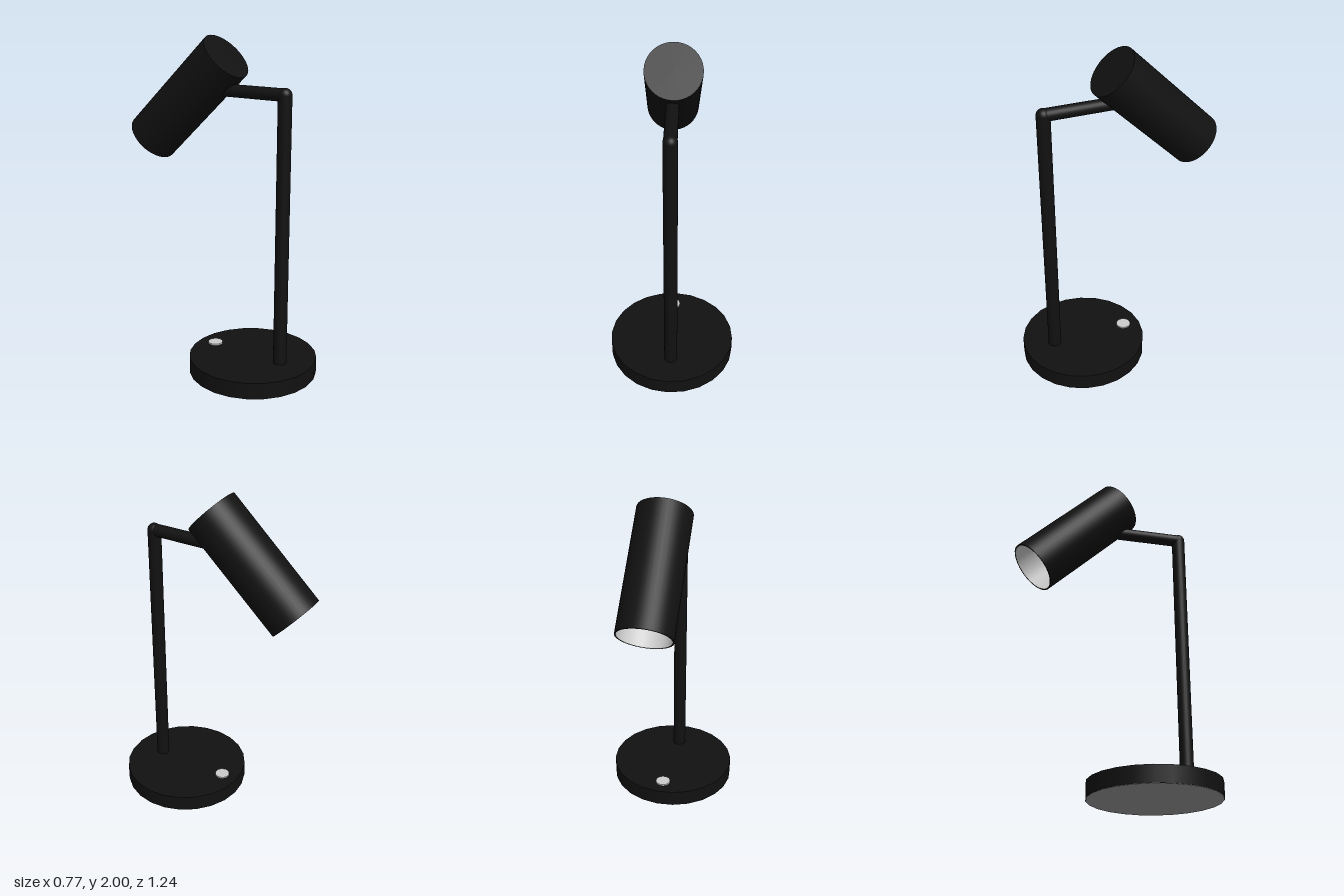
import * as THREE from 'three';
import { toCreasedNormals } from 'three/addons/utils/BufferGeometryUtils.js';

const mat = (color, side = THREE.FrontSide) => new THREE.MeshStandardMaterial({ color, side });

export function createModel() {
  const lamp = new THREE.Group();
  lamp.name = 'deskLamp';
  const black = mat(0x111111);
  const grey = mat(0xcccccc);

  function add(parent, name, geometry, material, x = 0, y = 0, z = 0) {
    const mesh = new THREE.Mesh(geometry, material);
    mesh.name = name;
    mesh.position.set(x, y, z);
    parent.add(mesh);
    return mesh;
  }

  // Round base with a grey pad underneath and a touch button on top
  const baseZ = 0.235, baseR = 0.386, baseH = 0.1, turn = -0.035;
  const base = new THREE.Group();
  base.name = 'base';
  base.position.z = baseZ;
  base.rotation.y = turn;
  lamp.add(base);
  add(base, 'baseDisc', new THREE.CylinderGeometry(baseR, baseR, baseH - 0.002, 24), black, 0, baseH / 2 + 0.001, 0);
  add(base, 'basePad', new THREE.CylinderGeometry(baseR - 0.002, baseR - 0.002, 0.002, 24), mat(0x999999), 0, 0.001, 0);
  add(lamp, 'button', new THREE.CylinderGeometry(0.045, 0.045, 0.01, 24), grey, 0, baseH + 0.004, -0.045);

  // Upright stem, ball elbow and horizontal arm
  const stemZ = 0.428, armY = 1.693, armEnd = -0.03;
  add(lamp, 'stem', new THREE.CylinderGeometry(0.04, 0.04, armY - baseH, 24), black, 0, (armY + baseH) / 2, stemZ);
  add(lamp, 'elbow', new THREE.SphereGeometry(0.04, 24, 16), black, 0, armY, stemZ);
  const arm = add(lamp, 'arm', new THREE.CylinderGeometry(0.037, 0.037, stemZ - armEnd, 24), black, 0, armY, (stemZ + armEnd) / 2);
  arm.rotation.x = Math.PI / 2;

  // Tilted cylindrical shade, local y running from the mouth to the closed end
  const mouth = new THREE.Vector3(-0.015, 1.37, -0.505);
  const top = new THREE.Vector3(0.005, 1.885, 0.03);
  const axis = top.clone().sub(mouth);
  const length = axis.length(), outer = 0.16, inner = 0.152, bulbDepth = 0.345;
  const head = new THREE.Group();
  head.name = 'lampHead';
  head.position.copy(mouth);
  head.quaternion.setFromUnitVectors(new THREE.Vector3(0, 1, 0), axis.normalize());
  lamp.add(head);

  const profile = [[inner, 0], [outer, 0], [outer, length], [0, length]].map(p => new THREE.Vector2(...p));
  add(head, 'shade', toCreasedNormals(new THREE.LatheGeometry(profile, 40), 0.6), mat(0x111111, THREE.DoubleSide));
  add(head, 'shadeLining', new THREE.CylinderGeometry(inner, inner, bulbDepth, 40, 1, true), mat(0xcccccc, THREE.BackSide), 0, bulbDepth / 2, 0);

  // Yellowish light disc set deep inside the shade
  const disc = add(head, 'lightDisc', new THREE.CircleGeometry(inner, 40), mat(0xcfc078, THREE.DoubleSide), 0, bulbDepth, 0);
  disc.rotation.x = Math.PI / 2;

  return lamp;
}
